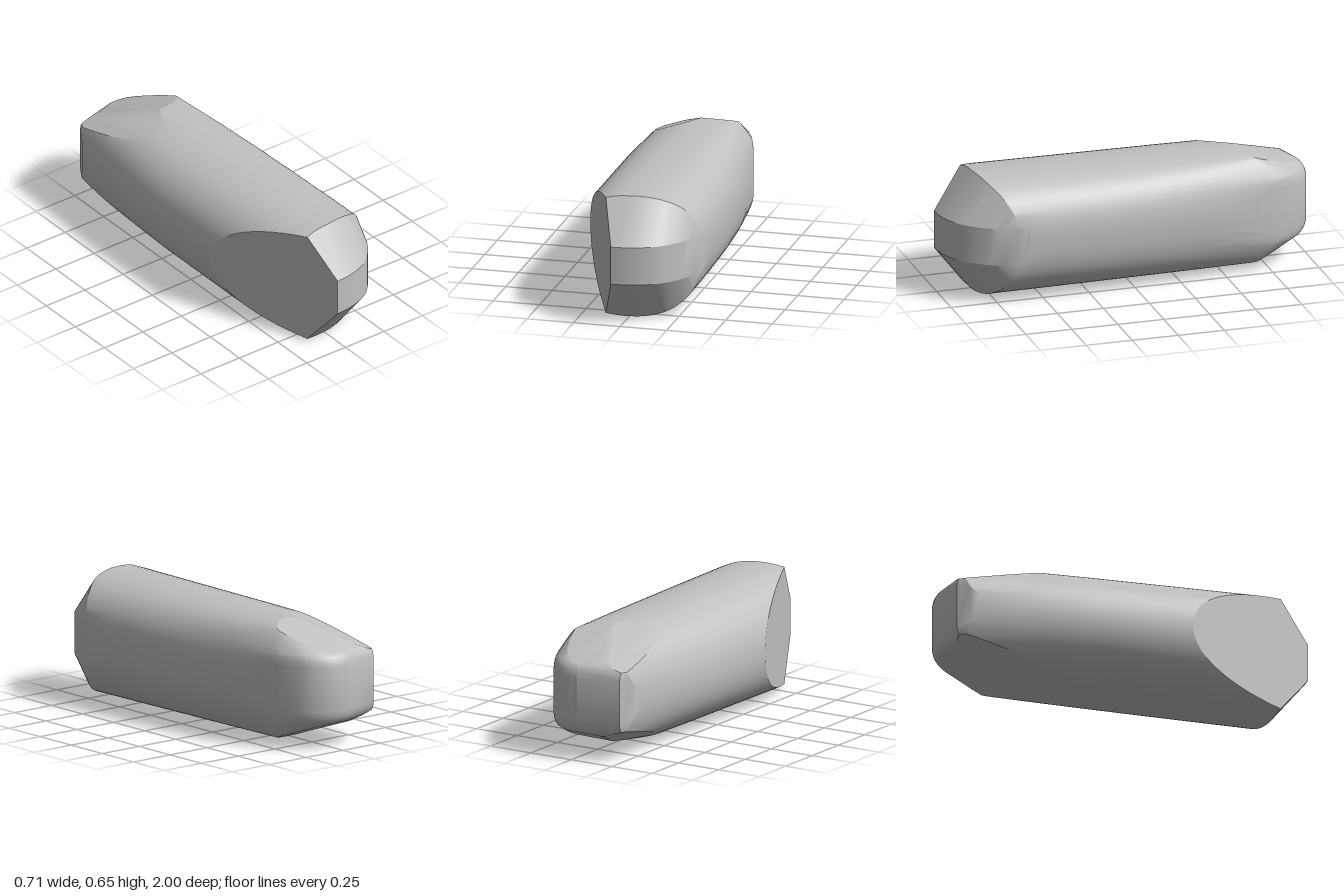
import * as THREE from 'three';
import { toCreasedNormals } from 'three/addons/utils/BufferGeometryUtils.js';

const A = 0.353, B = 0.327, MID = 0.328; // half width, half height, centre height

// Cut a convex solid (list of polygons) with the half-space n.p <= d, and cap it
function cut(faces, nx, ny, nz, d) {
  const len = Math.hypot(nx, ny, nz);
  const n = new THREE.Vector3(nx, ny, nz).divideScalar(len);
  const dist = (p) => n.dot(p) - d / len;
  const eps = 1e-6;
  if (!faces.some((f) => f.some((p) => dist(p) > eps))) return faces;
  const out = [], rim = [];
  const addRim = (p) => { if (!rim.some((q) => q.distanceTo(p) < 1e-5)) rim.push(p); };
  for (const f of faces) {
    const poly = [];
    f.forEach((p, i) => {
      const q = f[(i + 1) % f.length], a = dist(p), b = dist(q);
      if (a <= eps) poly.push(p);
      if (Math.abs(a) <= eps) addRim(p);
      if ((a > eps && b < -eps) || (a < -eps && b > eps)) {
        const m = p.clone().lerp(q, a / (a - b));
        poly.push(m);
        addRim(m);
      }
    });
    if (poly.length > 2) out.push(poly);
  }
  if (rim.length > 2) {
    const c = rim.reduce((s, p) => s.add(p), new THREE.Vector3()).divideScalar(rim.length);
    const u = new THREE.Vector3(0, 1, 0);
    if (Math.abs(n.y) > 0.9) u.set(1, 0, 0);
    u.cross(n).normalize();
    const v = n.clone().cross(u);
    const angle = (p) => Math.atan2(p.clone().sub(c).dot(v), p.clone().sub(c).dot(u));
    out.push(rim.sort((p, q) => angle(p) - angle(q)));
  }
  return out;
}

function boxFaces() {
  const v = (x, y, z) => new THREE.Vector3(x * 0.5, y * 0.5, z * 1.0);
  return [
    [v(1, -1, -1), v(1, 1, -1), v(1, 1, 1), v(1, -1, 1)],
    [v(-1, -1, 1), v(-1, 1, 1), v(-1, 1, -1), v(-1, -1, -1)],
    [v(-1, 1, 1), v(1, 1, 1), v(1, 1, -1), v(-1, 1, -1)],
    [v(-1, -1, -1), v(1, -1, -1), v(1, -1, 1), v(-1, -1, 1)],
    [v(-1, -1, 1), v(1, -1, 1), v(1, 1, 1), v(-1, 1, 1)],
    [v(-1, 1, -1), v(1, 1, -1), v(1, -1, -1), v(-1, -1, -1)],
  ];
}

function bodyGeometry() {
  let faces = boxFaces();
  const clip = (...plane) => { faces = cut(faces, ...plane); };

  // Rounded long body: tangent planes of a superellipse, swept along plan edges.
  // The taper acts mostly on the flanks; the top and bottom fall slightly backwards.
  const fall = 0.007;
  const sweep = (side, power, edge) => {
    const q = power / (power - 1);
    for (let e = 0; e + 1 < edge.length; e++) {
      const [x0, z0] = edge[e], [x1, z1] = edge[e + 1];
      const k = (x1 - x0) / (z1 - z0);
      for (let i = 0; i <= 32; i++) {
        const t = (i / 32 - 0.5) * Math.PI;
        const c = side * Math.cos(t), s = Math.sin(t), w = c ** 3, f = fall * Math.abs(s);
        const h = (Math.abs(A * c) ** q + Math.abs(B * s) ** q) ** (1 / q);
        clip(c, s, -w * k - f, h + w * (x0 - k * z0 - side * A) - f * 0.82);
      }
    }
  };
  sweep(1, 2.5, [[0.353, 0.7], [0.351, 0.5], [0.342, 0.2], [0.327, -0.1], [0.302, -0.4], [0.27, -0.65]]);
  sweep(-1, 2.25, [[-0.348, 0.3], [-0.354, -0.2], [-0.34, -0.45], [-0.315, -0.8]]);

  // Upright wall through two plan points; beyond height h it leans back by slope
  const wall = (x0, z0, x1, z1, bevels = []) => {
    let mx = z1 - z0, mz = x0 - x1;
    if (mx * x0 + mz * z0 < 0) { mx = -mx; mz = -mz; }
    const d = mx * x0 + mz * z0;
    clip(mx, 0, mz, d);
    for (const [h, slope] of bevels) {
      const k = slope * Math.abs(mz);
      for (const s of [1, -1]) clip(mx, s * k, mz, d + k * h);
    }
  };
  const curvedWall = (pts, bevels) => {
    const curve = new THREE.SplineCurve(pts.map(([x, z]) => new THREE.Vector2(x, z)));
    const p = curve.getPoints(20);
    for (let i = 0; i < 20; i++) wall(p[i].x, p[i].y, p[i + 1].x, p[i + 1].y, bevels);
  };

  // Front nose with sloped bevels above and below
  curvedWall([[-0.06, 1], [0.03, 0.992], [0.12, 0.965], [0.2, 0.917], [0.28, 0.82], [0.33, 0.71], [0.352, 0.58]],
    [[0.101, 0.8]]);
  // Big flat facet on the right of the front
  wall(-0.35, 0.3, -0.05, 1);

  // Back end with softly rounded rims, and the cut back corner
  const rims = [[0.12, 0.25], [0.138, 0.6], [0.152, 1.05], [0.163, 1.7]];
  curvedWall([[-0.02, -1], [0.04, -0.995], [0.1, -0.97], [0.16, -0.92], [0.2, -0.855], [0.235, -0.77], [0.268, -0.65]],
    rims);
  wall(-0.26, -0.94, -0.04, -0.999, rims);
  wall(-0.315, -0.8, -0.3, -0.87, rims);
  wall(-0.3, -0.87, -0.26, -0.94, rims);

  // Sloping planes on the back, fanning towards the right corner
  for (const [bx, cz] of [[0, 0.365], [0.09, 0.33], [0.18, 0.29], [0.265, 0.25], [0.345, 0.207]]) {
    for (const s of [1, -1]) clip(-bx, s, -cz, 0.317 + 0.6 * cz);
  }

  // Triangulate and drop slivers
  const pos = [];
  const area = new THREE.Triangle();
  for (const f of faces) {
    for (let i = 1; i + 1 < f.length; i++) {
      area.set(f[0], f[i], f[i + 1]);
      if (area.getArea() < 1e-9) continue;
      for (const p of [f[0], f[i], f[i + 1]]) pos.push(p.x, p.y + MID, p.z);
    }
  }
  const g = new THREE.BufferGeometry();
  g.setAttribute('position', new THREE.Float32BufferAttribute(pos, 3));
  return toCreasedNormals(g, 0.34);
}

export function createModel() {
  const group = new THREE.Group();
  group.name = 'smoothBar';
  const grey = new THREE.MeshStandardMaterial({ color: 0xc0c0c0 });
  grey.name = 'lightGrey';
  const body = new THREE.Mesh(bodyGeometry(), grey);
  body.name = 'body';
  group.add(body);
  return group;
}
